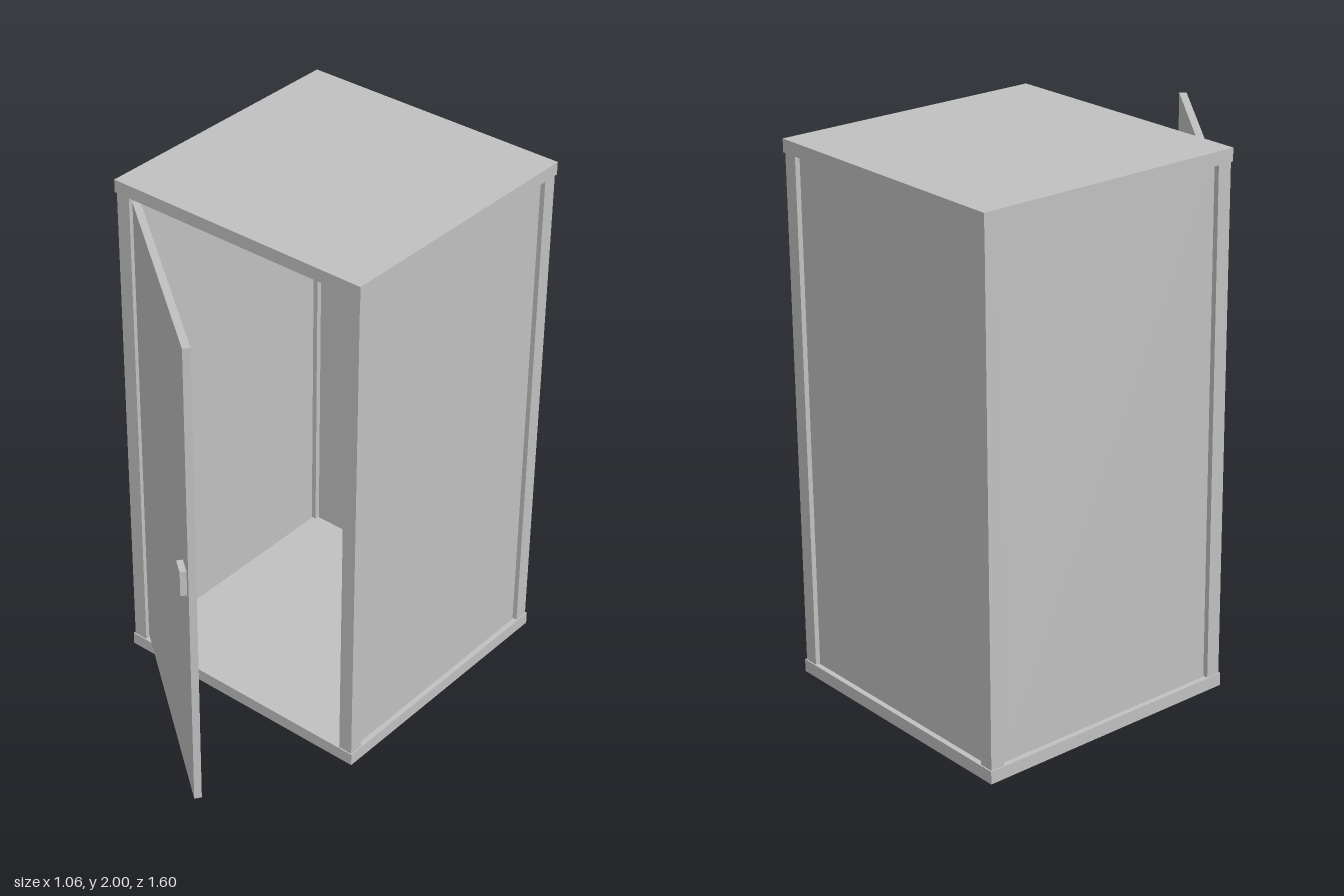
import * as THREE from 'three';

export function createModel() {
  const root = new THREE.Group();
  root.name = 'cabinet';
  const grey = new THREE.MeshStandardMaterial({ color: 0xc0c0c0 });
  grey.name = 'grey metal';

  const addBox = (parent, name, size, pos) => {
    const mesh = new THREE.Mesh(new THREE.BoxGeometry(...size), grey);
    mesh.name = name;
    mesh.position.set(...pos);
    parent.add(mesh);
    return mesh;
  };

  // Square housing, set back so the open door fits in front of it
  const W = 1.06, SLAB = 0.048, POST = 0.055, H = 2 - 2 * SLAB;
  const housing = new THREE.Group();
  housing.name = 'housing';
  housing.position.z = -0.27;
  root.add(housing);

  addBox(housing, 'floorSlab', [W, SLAB, W], [0, SLAB / 2, 0]);
  addBox(housing, 'roofSlab', [W, SLAB, W], [0, 2 - SLAB / 2, 0]);

  // Corner posts, slightly inside the slab edges
  const p = W / 2 - 0.005 - POST / 2;
  for (const sx of [-1, 1])
    for (const sz of [-1, 1])
      addBox(housing, 'cornerPost', [POST, H, POST], [sx * p, 1, sz * p]);

  // Recessed wall panels, narrowly clear of the posts
  const PANEL = 0.93, THICK = 0.025;
  for (const sx of [-1, 1])
    addBox(housing, 'sidePanel', [THICK, H, PANEL], [sx * p, 1, 0]);
  addBox(housing, 'backPanel', [PANEL, H, THICK], [0, 1, -p]);

  // Door swung open about its hinge edge; local x runs along the door
  const door = new THREE.Group();
  door.name = 'door';
  door.position.set(-0.475, 0, 0.235);
  door.rotation.y = -Math.atan2(0.565, 0.739);
  root.add(door);
  addBox(door, 'doorPanel', [0.93, 1.865, 0.027], [0.465, 0.9925, -0.0135]);
  addBox(door, 'doorHandle', [0.065, 0.1, 0.023], [0.867, 0.988, 0.0115]);

  return root;
}
